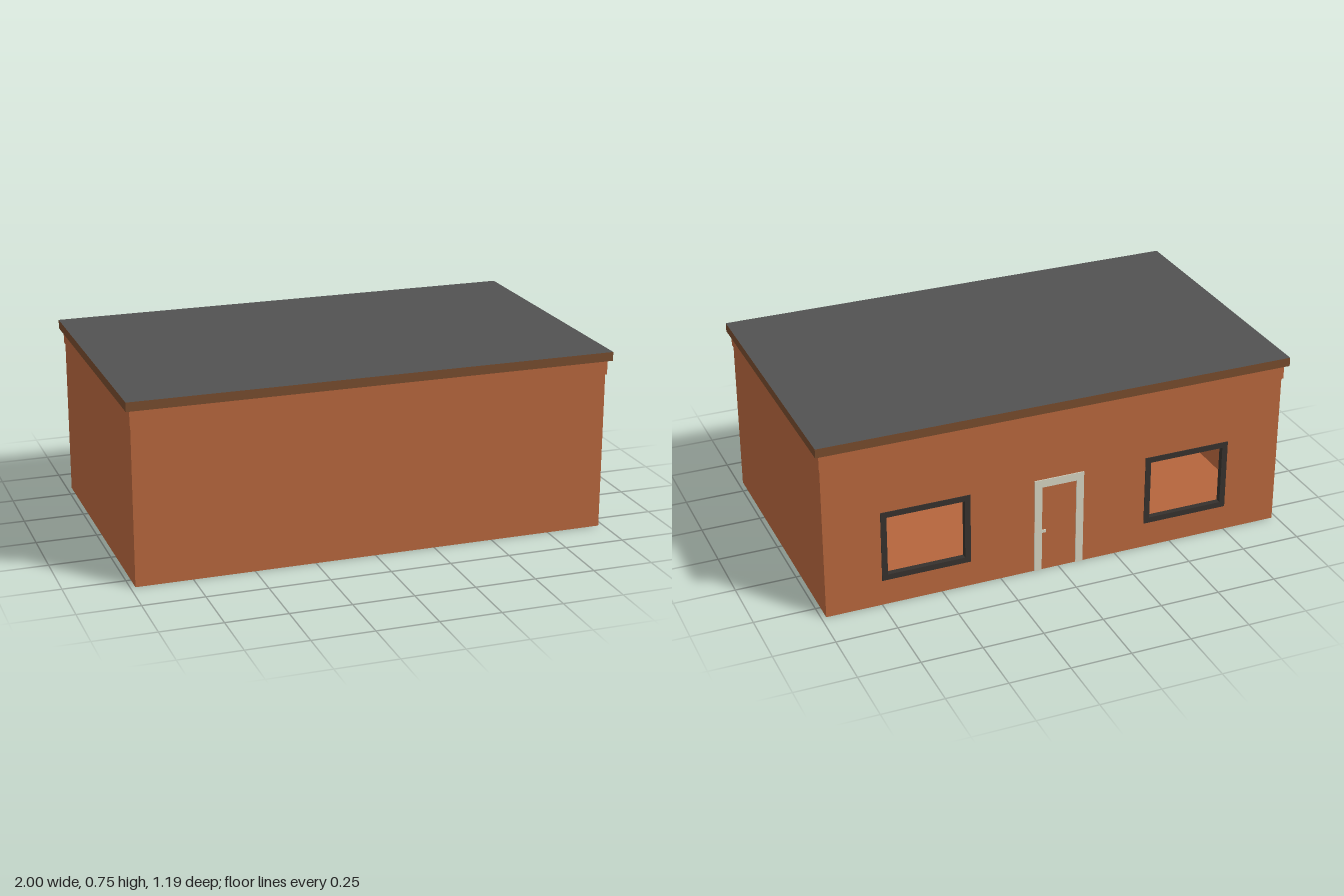
import * as THREE from 'three';

const mat = (name, color) => {
  const m = new THREE.MeshStandardMaterial({ color });
  m.name = name;
  return m;
};

export function createModel() {
  const brick = mat('brick', 0xb5653c);
  const fascia = mat('fascia brown', 0x754a2c);
  const felt = mat('roof grey', 0x525252);
  const cream = mat('cream', 0xd2d0be);
  const dark = mat('window frame dark', 0x35312d);

  const house = new THREE.Group();
  house.name = 'house';

  const add = (name, geometry, material, x, y, z, parent = house) => {
    const mesh = new THREE.Mesh(geometry, material);
    mesh.name = name;
    mesh.position.set(x, y, z);
    parent.add(mesh);
    return mesh;
  };
  const box = (name, w, h, d, material, x, y, z, parent) =>
    add(name, new THREE.BoxGeometry(w, h, d), material, x, y, z, parent);

  // Rectangle outline, used for walls, openings and frames
  const rect = (x0, y0, x1, y1, Type = THREE.Shape) => new Type([
    new THREE.Vector2(x0, y0), new THREE.Vector2(x1, y0),
    new THREE.Vector2(x1, y1), new THREE.Vector2(x0, y1),
  ]);
  const slab = (shape, depth) => new THREE.ExtrudeGeometry(shape, { depth, bevelEnabled: false });

  const W = 0.98, D = 0.574, H = 0.655, T = 0.02;
  const windowX = 0.563, windowW = 0.185, sill = 0.11, head = 0.412;

  // Floor, front and side walls
  box('floor', 2 * W, 0.01, 2 * D, brick, 0, 0.005, 0);
  box('frontWall', 2 * W, H - 0.01, T, brick, 0, (H + 0.01) / 2, D - T / 2);
  for (const s of [-1, 1]) {
    box(s > 0 ? 'leftWall' : 'rightWall', T, H - 0.01, 2 * (D - T), brick,
      s * (W - T / 2), (H + 0.01) / 2, 0);
  }

  // Back wall with two window openings
  const back = rect(-W, 0.01, W, H);
  for (const s of [-1, 1]) {
    const x = s * windowX;
    back.holes.push(rect(x - windowW, sill, x + windowW, head, THREE.Path));
  }
  add('backWall', slab(back, T), brick, 0, 0, -D);

  // Open window frames filling the openings
  for (const s of [-1, 1]) {
    const f = 0.024;
    const frame = rect(-windowW, sill, windowW, head);
    frame.holes.push(rect(-windowW + f, sill + f, windowW - f, head - f, THREE.Path));
    add(s > 0 ? 'leftWindowFrame' : 'rightWindowFrame', slab(frame, T + 0.004), dark,
      s * windowX, 0, -D - 0.003);
  }

  // Door frame and handle on the back wall
  const door = new THREE.Group();
  door.name = 'door';
  house.add(door);
  const jamb = new THREE.Shape([
    [-0.106, 0], [-0.074, 0], [-0.074, 0.378], [0.074, 0.378],
    [0.074, 0], [0.106, 0], [0.106, 0.412], [-0.106, 0.412],
  ].map(([x, y]) => new THREE.Vector2(x, y)));
  add('doorFrame', slab(jamb, 0.006), cream, 0, 0, -D - 0.004, door);
  box('doorHandle', 0.018, 0.012, 0.006, cream, 0.066, 0.178, -D - 0.002, door);

  // Ceiling and the brick band that steps out above the walls
  box('ceiling', 2 * (W - T), 0.008, 2 * (D - T), cream, 0, H - 0.004, 0);
  box('wallBand', 1.968, 0.06, 1.164, brick, 0, H + 0.03, 0);

  // Flat roof with its overhanging edge
  box('roofEdge', 2, 0.033, 1.194, fascia, 0, 0.7315, 0);
  box('roofSurface', 2, 0.004, 1.194, [fascia, fascia, felt, fascia, fascia, fascia], 0, 0.75, 0);

  return house;
}
